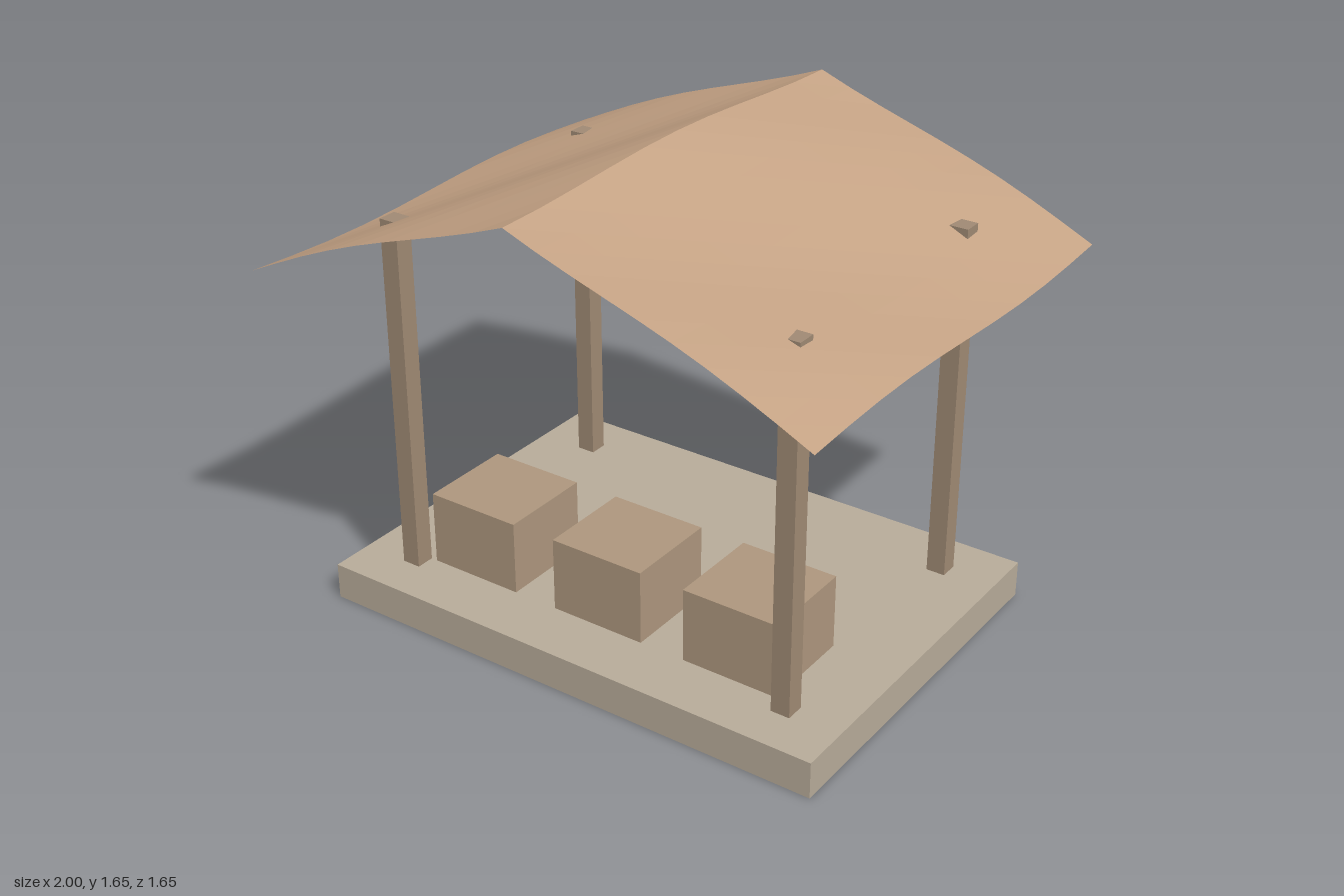
import * as THREE from 'three';

const mat = (color, side = THREE.FrontSide) =>
  new THREE.MeshStandardMaterial({ color, flatShading: true, side });

export function createModel() {
  const group = new THREE.Group();
  const stone = mat(0xb8ac9a);
  const wood = mat(0xa08a74);
  const crateWood = mat(0xae977e);
  const thatch = mat(0xc4a284, THREE.DoubleSide);

  // Box standing on height y
  const addBox = (name, w, h, d, x, y, z, material) => {
    const mesh = new THREE.Mesh(new THREE.BoxGeometry(w, h, d), material);
    mesh.position.set(x, y + h / 2, z);
    mesh.name = name;
    group.add(mesh);
  };

  // Floor slab
  const floor = 0.125;
  addBox('platform', 1.845, floor, 1.31, 0, 0, 0, stone);

  // Corner posts, their tops poking just through the roof
  for (const x of [-0.725, 0.725])
    for (const z of [-0.477, 0.477])
      addBox('post', 0.065, 1.23, 0.065, x, floor, z, wood);

  // Row of crates along the front
  for (const x of [-0.5, 0, 0.5])
    addBox('crate', 0.34, 0.255, 0.332, x, floor, 0.279, crateWood);

  // Thin gabled roof with a gentle diagonal ripple
  const roofGeo = new THREE.PlaneGeometry(2, 1.65, 18, 10).rotateX(-Math.PI / 2);
  const p = roofGeo.attributes.position;
  for (let i = 0; i < p.count; i++) {
    const x = p.getX(i), z = p.getZ(i);
    const ripple = 0.017 * Math.cos(1.5 * Math.PI * x + (Math.PI / 0.825) * z);
    p.setY(i, 1.63 - 0.397 * Math.abs(x) + ripple);
  }
  roofGeo.computeVertexNormals();
  const roof = new THREE.Mesh(roofGeo, thatch);
  roof.name = 'roof';
  group.add(roof);

  return group;
}
